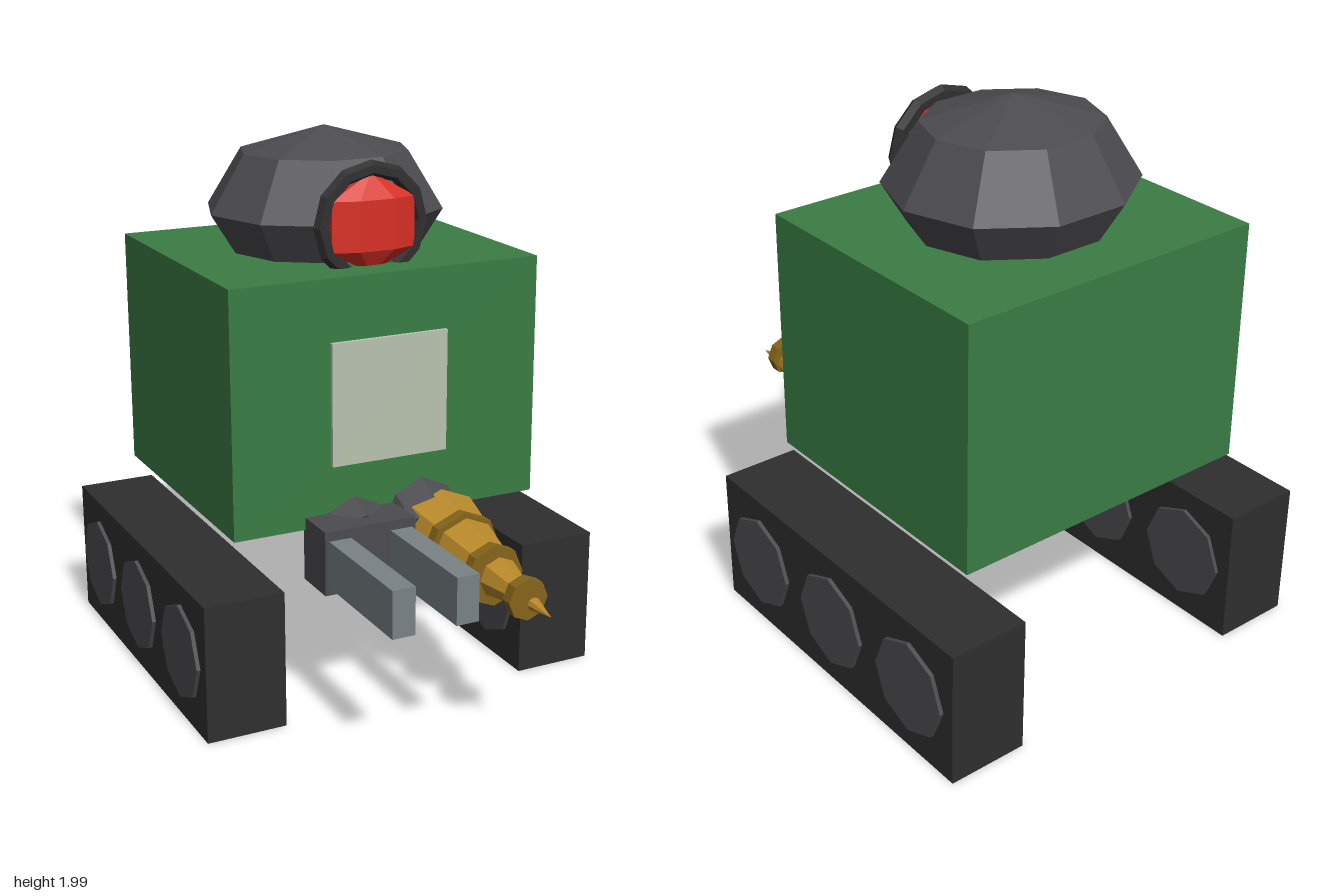
import * as THREE from 'three';

const mat = (name, color) => {
  const m = new THREE.MeshStandardMaterial({ color, flatShading: true });
  m.name = name;
  return m;
};

export function createModel() {
  const root = new THREE.Group();
  root.name = 'trackedRobot';
  const green = mat('bodyGreen', 0x3a7d44);
  const grey = mat('darkGrey', 0x4c4b50);
  const black = mat('trackBlack', 0x2f2f2f);
  const red = mat('eyeRed', 0xd93025);
  const pale = mat('panelPale', 0xb9c4b0);
  const steel = mat('clawSteel', 0x798287);
  const gold = mat('drillGold', 0xb8892a);
  const bronze = mat('bandBronze', 0x85651a);

  const add = (name, geometry, material, x = 0, y = 0, z = 0) => {
    const mesh = new THREE.Mesh(geometry, material);
    mesh.name = name;
    mesh.position.set(x, y, z);
    root.add(mesh);
    return mesh;
  };
  // Box given by its limits on each axis
  const box = (name, material, x0, x1, y0, y1, z0, z1) =>
    add(name, new THREE.BoxGeometry(x1 - x0, y1 - y0, z1 - z0), material,
      (x0 + x1) / 2, (y0 + y1) / 2, (z0 + z1) / 2);
  // Faceted rod or cone between two points
  const rod = (name, material, from, to, r0, r1, sides = 8) => {
    const a = new THREE.Vector3(...from), b = new THREE.Vector3(...to);
    const dir = b.clone().sub(a);
    const mesh = add(name, new THREE.CylinderGeometry(r1, r0, dir.length(), sides), material);
    mesh.position.copy(a).add(b).multiplyScalar(0.5);
    mesh.quaternion.setFromUnitVectors(new THREE.Vector3(0, 1, 0), dir.normalize());
    return mesh;
  };

  // Body and chest panel
  box('body', green, -0.595, 0.595, 0.655, 1.545, -0.85, 0.185);
  box('chestPanel', pale, -0.225, 0.225, 0.875, 1.32, 0.18, 0.2);

  // Domed head
  add('head', new THREE.SphereGeometry(1, 10, 4), grey, 0, 1.69, -0.333)
    .scale.set(0.445, 0.295, 0.415);

  // Eye lens and its rim
  add('eye', new THREE.SphereGeometry(1, 8, 3).rotateY(Math.PI / 8), red, 0, 1.69, 0.045)
    .scale.set(0.2, 0.178, 0.066);
  add('eyeRim', new THREE.TorusGeometry(0.192, 0.029, 6, 12), black, 0, 1.69, 0.045);

  // Tracks with three wheels, each showing on both sides
  for (const [side, s] of [['left', 1], ['right', -1]]) {
    const x = s * 0.6225;
    box(side + 'Track', black, x - 0.1475, x + 0.1475, 0, 0.505, -1, 0.335);
    for (const z of [0.11, -0.334, -0.778]) {
      rod(side + 'Wheel', grey, [x - 0.162, 0.255, z], [x + 0.162, 0.255, z], 0.175, 0.175);
    }
  }

  // Sloping arms
  rod('drillArm', grey, [0.135, 0.85, -0.33], [0.135, 0.575, 0.27], 0.15, 0.15);
  rod('clawArm', grey, [-0.135, 0.83, -0.33], [-0.135, 0.58, 0.22], 0.14, 0.14);

  // Two-pronged claw
  box('clawBase', grey, -0.325, 0.025, 0.465, 0.7, 0.17, 0.345);
  for (const x of [-0.268, -0.031]) {
    box('clawFinger', steel, x - 0.042, x + 0.042, 0.495, 0.665, 0.3, 0.815);
  }

  // Drill with three bands
  rod('drillCone', gold, [0.17, 0.585, 0.26], [0.173, 0.55, 1], 0.168, 0);
  for (const [x, z, r] of [[0.165, 0.425, 0.147], [0.155, 0.652, 0.11], [0.152, 0.872, 0.074]]) {
    rod('drillBand', bronze, [x, 0.575, z - 0.021], [x, 0.575, z + 0.021], r, r);
  }

  return root;
}
